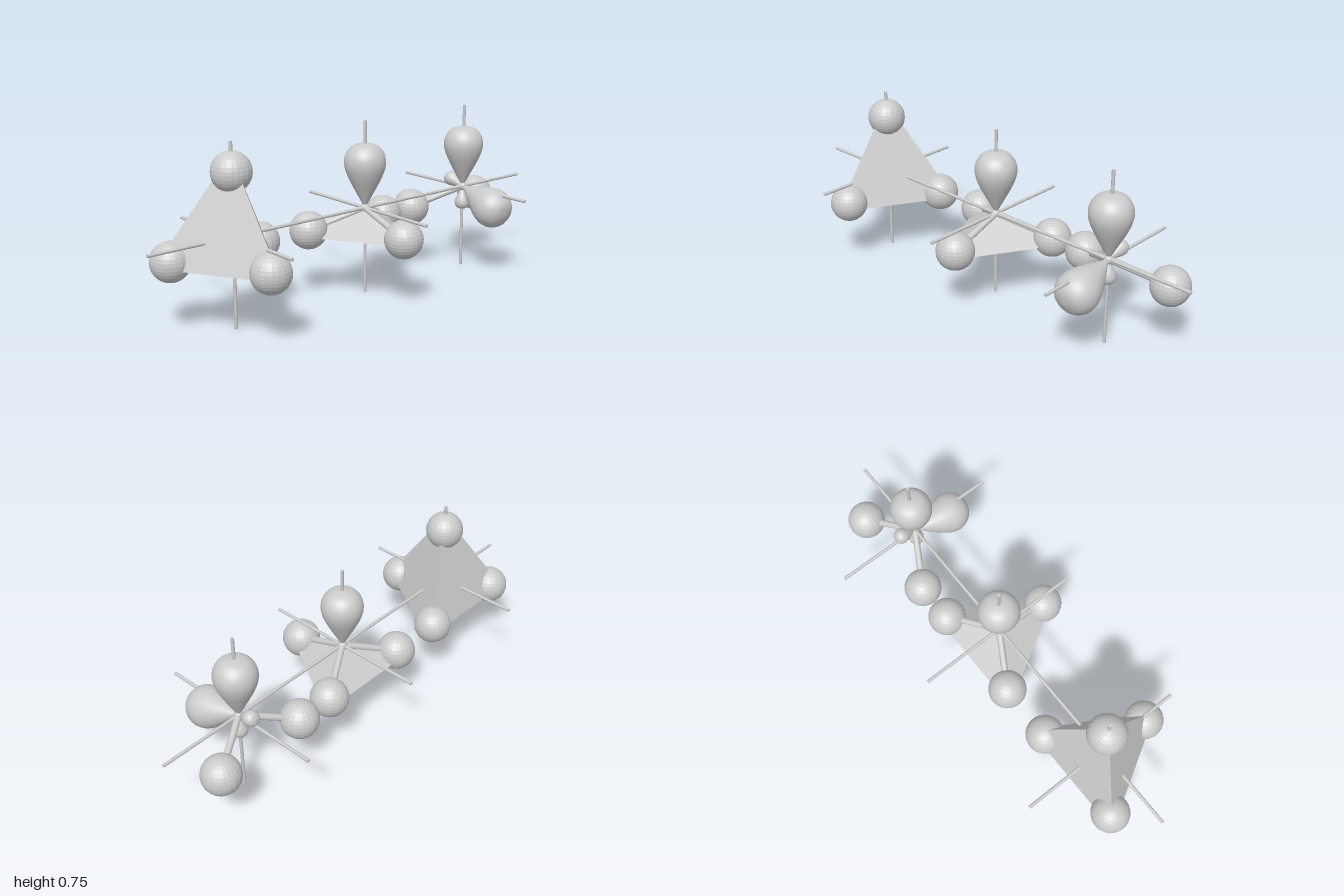
import * as THREE from 'three';
import { ConvexGeometry } from 'three/addons/geometries/ConvexGeometry.js';

const UP = new THREE.Vector3(0, 1, 0);
const CENTRE_Y = 0.373;
const BOND = 0.255;   // centre to atom
const CORNER = 0.325; // centre to polyhedron corner

// Four tetrahedral directions: top, then three around the base
const TETRA = [UP.clone()];
for (let i = 0; i < 3; i++) {
  const a = (i * 2 * Math.PI) / 3;
  TETRA.push(new THREE.Vector3(Math.cos(a) * 0.943, -1 / 3, Math.sin(a) * 0.943));
}

export function createModel() {
  const model = new THREE.Group();
  const smooth = new THREE.MeshStandardMaterial({ color: 0xcccccc });
  const flat = new THREE.MeshStandardMaterial({ color: 0xcccccc, flatShading: true });

  const axisGeo = new THREE.CylinderGeometry(0.007, 0.007, 2 * CENTRE_Y, 12);
  const bondGeo = new THREE.CylinderGeometry(0.014, 0.014, BOND, 12).translate(0, BOND / 2, 0);
  const atomGeo = new THREE.SphereGeometry(0.081, 22, 16);
  const nodeGeo = new THREE.SphereGeometry(0.02, 16, 10);

  // Pear-shaped lobe, narrow end at the centre
  const profile = new THREE.SplineCurve([
    [0, 0], [0.012, 0.02], [0.031, 0.055], [0.054, 0.098], [0.077, 0.147],
    [0.088, 0.192], [0.08, 0.234], [0.05, 0.267], [0, 0.278],
  ].map(([r, h]) => new THREE.Vector2(r, h)));
  const lobePoints = profile.getPoints(28);
  lobePoints.forEach((p) => { p.x = Math.max(p.x, 0); });
  const lobeGeo = new THREE.LatheGeometry(lobePoints, 32);

  function add(parent, name, geometry, material, dir = UP) {
    const mesh = new THREE.Mesh(geometry, material);
    mesh.name = name;
    mesh.quaternion.setFromUnitVectors(UP, dir);
    parent.add(mesh);
    return mesh;
  }

  // One centre with its axes, bonded atoms and lone-pair lobes
  function addMolecule(name, z, atoms, lobes, solidPoints) {
    const group = new THREE.Group();
    group.name = name;
    group.position.set(0, CENTRE_Y, z);
    model.add(group);

    add(group, 'axisX', axisGeo, smooth, new THREE.Vector3(1, 0, 0));
    add(group, 'axisY', axisGeo, smooth);
    add(group, 'axisZ', axisGeo, smooth, new THREE.Vector3(0, 0, 1));
    add(group, 'centreNode', nodeGeo, smooth);

    for (const i of atoms) {
      add(group, 'bond', bondGeo, smooth, TETRA[i]);
      add(group, 'atom', atomGeo, flat).position.copy(TETRA[i]).multiplyScalar(BOND);
    }
    for (const i of lobes) {
      add(group, 'lobe', lobeGeo, smooth, TETRA[i]);
      // small counter-lobe on the opposite side
      add(group, 'smallLobe', lobeGeo, smooth, TETRA[i].clone().negate()).scale.setScalar(0.38);
    }
    if (solidPoints) add(group, 'polyhedron', new ConvexGeometry(solidPoints), flat);
  }

  const corners = TETRA.map((d) => d.clone().multiplyScalar(CORNER));
  addMolecule('tetrahedralMolecule', 0.627, [0, 1, 2, 3], [], corners);
  addMolecule('pyramidalMolecule', -0.038, [1, 2, 3], [0],
    [new THREE.Vector3(), ...corners.slice(1)]);
  addMolecule('bentMolecule', -0.627, [2, 3], [0, 1], null);

  return model;
}
